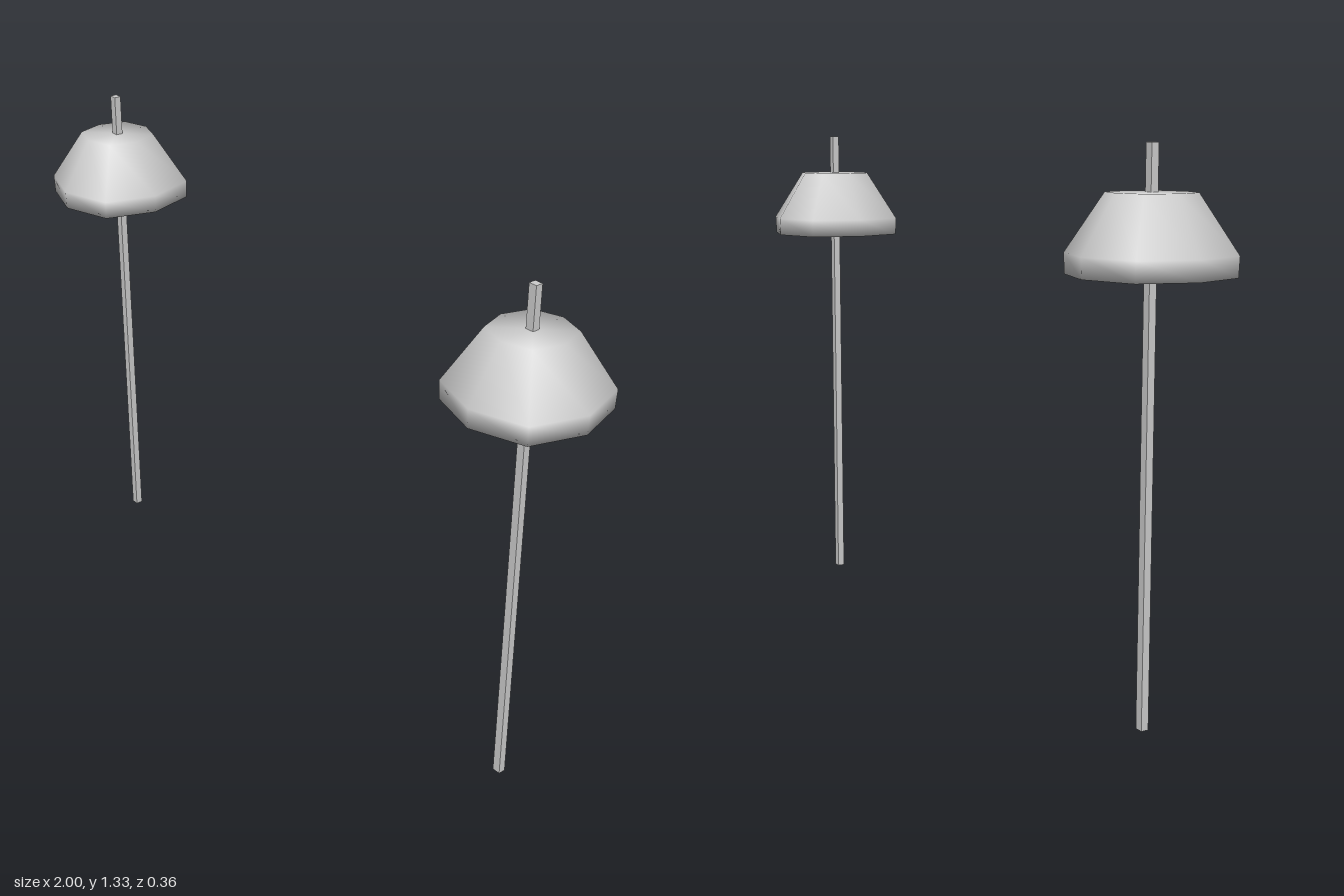
import * as THREE from 'three';
import { mergeVertices } from 'three/addons/utils/BufferGeometryUtils.js';

const grey = new THREE.MeshStandardMaterial({ color: 0xcccccc });

// Closed eight-sided shade: flat underside, short rim, sloping sides, flat top
function shadeGeometry() {
  const profile = [[0, 1.042], [0.18, 1.042], [0.182, 1.09], [0.097, 1.225], [0, 1.225]]
    .map(([r, y]) => new THREE.Vector2(r, y));
  let geo = new THREE.LatheGeometry(profile, 8);

  // The diagonal corners stand out a little further than those on the axes
  const pos = geo.attributes.position;
  for (let i = 0; i < pos.count; i++) {
    const x = pos.getX(i), z = pos.getZ(i);
    if (Math.min(Math.abs(x), Math.abs(z)) > 0.01) pos.setXYZ(i, x * 1.07, pos.getY(i), z * 1.07);
  }

  // Weld so the shading runs softly over every edge
  geo.deleteAttribute('normal');
  geo.deleteAttribute('uv');
  geo = mergeVertices(geo, 1e-4);
  geo.computeVertexNormals();
  return geo;
}

export function createModel() {
  const model = new THREE.Group();
  const shadeGeo = shadeGeometry();
  const poleGeo = new THREE.BoxGeometry(0.022, 1.333, 0.019);

  for (const [side, x] of [['left', 0.818], ['right', -0.818]]) {
    const lamp = new THREE.Group();
    lamp.name = side + 'Lamp';
    lamp.position.x = x;

    // Slim square pole passing right through the shade
    const pole = new THREE.Mesh(poleGeo, grey);
    pole.name = 'pole';
    pole.position.y = 1.333 / 2;

    const shade = new THREE.Mesh(shadeGeo, grey);
    shade.name = 'shade';

    lamp.add(pole, shade);
    model.add(lamp);
  }
  return model;
}
